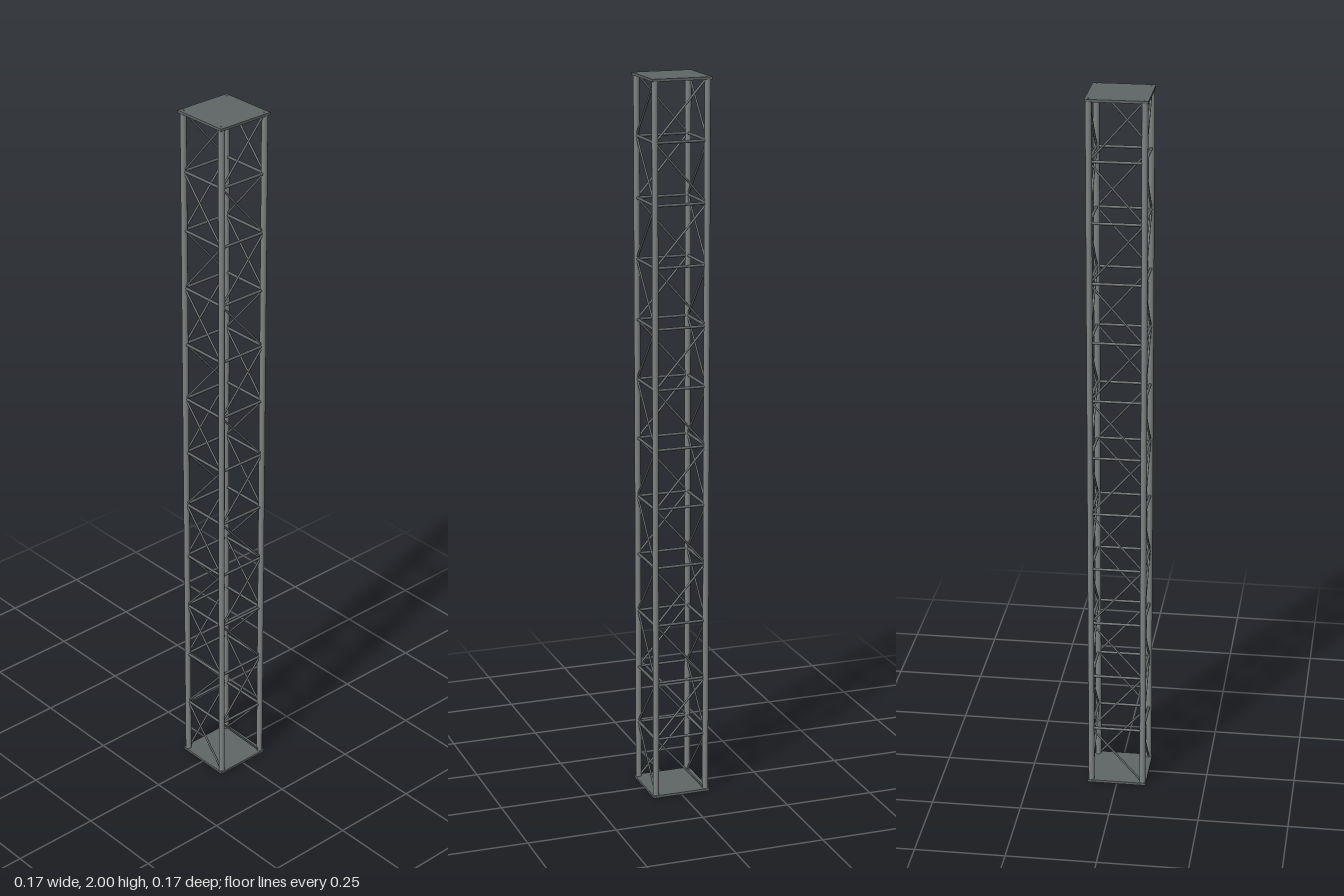
import * as THREE from 'three';

const HALF = 0.083;      // half width of the end plates
const LEG = 0.073;       // leg centre offset
const PLATE = 0.007;     // plate thickness
const TOP = 1.999;       // upper face of the top plate
const BAYS = 12;

export function createModel() {
  const model = new THREE.Group();
  model.name = 'latticeTower';

  const darkSteel = new THREE.MeshStandardMaterial({ color: 0x606566 });
  darkSteel.name = 'darkSteel';
  const legSteel = new THREE.MeshStandardMaterial({ color: 0x7e8382 });
  legSteel.name = 'legSteel';

  // Round bar between two points
  const bar = (name, a, b, radius, sides, material, parent) => {
    const dir = b.clone().sub(a);
    const mesh = new THREE.Mesh(
      new THREE.CylinderGeometry(radius, radius, dir.length(), sides), material);
    mesh.name = name;
    mesh.position.copy(a).add(b).multiplyScalar(0.5);
    mesh.quaternion.setFromUnitVectors(new THREE.Vector3(0, 1, 0), dir.normalize());
    parent.add(mesh);
  };
  const point = (x, y) => new THREE.Vector3(x, y, LEG);

  // End plates
  for (const [name, y] of [['basePlate', PLATE / 2], ['topPlate', TOP - PLATE / 2]]) {
    const plate = new THREE.Mesh(new THREE.BoxGeometry(HALF * 2, PLATE, HALF * 2), darkSteel);
    plate.name = name;
    plate.position.y = y;
    model.add(plate);
  }

  // One leg and one braced face per side, turned a quarter each time
  const bottom = 0.005;
  const step = (1.998 - bottom) / BAYS;
  for (let side = 0; side < 4; side++) {
    const face = new THREE.Group();
    face.name = 'trussFace';
    face.rotation.y = side * Math.PI / 2;
    model.add(face);

    bar('leg', point(LEG, 0.002), point(LEG, 1.997), 0.0085, 12, legSteel, face);

    // Zigzag of single diagonals, with a crossbar between bays
    for (let i = 0; i < BAYS; i++) {
      const y = bottom + i * step;
      const s = i % 2 ? 1 : -1;
      bar('diagonal', point(-LEG * s, y), point(LEG * s, y + step), 0.003, 8, darkSteel, face);
      if (i > 0) bar('crossbar', point(-LEG, y), point(LEG, y), 0.004, 8, darkSteel, face);
    }
  }
  return model;
}
